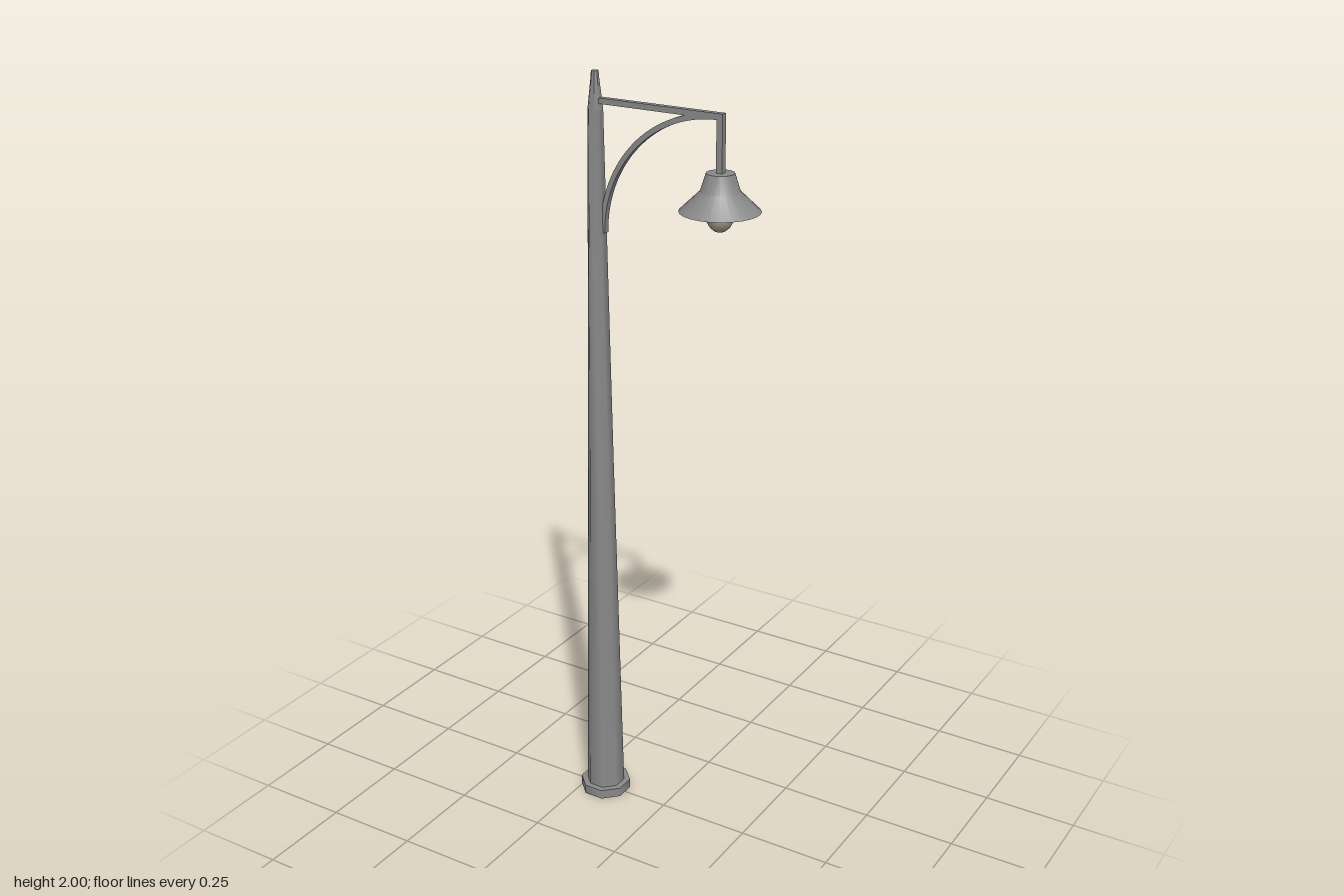
import * as THREE from 'three';
import { toCreasedNormals } from 'three/addons/utils/BufferGeometryUtils.js';

const POLE_X = -0.19, LAMP_X = 0.154;
const BAR = 0.016; // thickness of the square bars

const metal = new THREE.MeshStandardMaterial({ color: 0x8a8a8a, side: THREE.DoubleSide });
const glass = new THREE.MeshStandardMaterial({ color: 0xaea993, side: THREE.DoubleSide });

const toPoints = (profile, scale = 1) => profile.map(([r, y]) => new THREE.Vector2(r * scale, y));

// Eight-sided turned part with flats facing the axes; radii are measured to the flats.
// Shading is smooth around the pole and sharp at the collar edges.
function octagonal(profile) {
  const lathe = new THREE.LatheGeometry(toPoints(profile, 1 / Math.cos(Math.PI / 8)), 8, Math.PI / 8);
  return toCreasedNormals(lathe, 0.9);
}

export function createModel() {
  const model = new THREE.Group();
  model.name = 'streetLamp';

  const add = (name, geometry, material, x = 0, y = 0) => {
    const mesh = new THREE.Mesh(geometry, material);
    mesh.name = name;
    mesh.position.set(x, y, 0);
    model.add(mesh);
  };

  // Foot collar, hollow underneath
  add('base', octagonal([[0.049, 0], [0.0635, 0], [0.0635, 0.026], [0.048, 0.026]]), metal, POLE_X);

  // Tapered pole with a narrow pointed cap
  add('pole', octagonal([[0.049, 0], [0.048, 0.026], [0.031, 1], [0.0175, 1.91]]), metal, POLE_X);
  add('poleCap', octagonal([[0.0175, 1.91], [0.0095, 1.985], [0.0085, 2], [0, 2]]), metal, POLE_X);

  // Horizontal arm and the rod the lamp hangs from
  const armStart = -0.175, armEnd = LAMP_X + BAR / 2, armTop = 1.938;
  add('arm', new THREE.BoxGeometry(armEnd - armStart, 0.014, BAR), metal, (armStart + armEnd) / 2, armTop - 0.007);
  add('hangerRod', new THREE.BoxGeometry(BAR, armTop - 1.79, BAR), metal, LAMP_X, (armTop + 1.79) / 2);

  // Quarter-circle brace under the arm
  const outer = 0.326, inner = 0.313;
  const arc = new THREE.Shape();
  arc.absarc(0, 0, outer, Math.PI / 2, Math.PI, false);
  arc.absarc(0, 0, inner, Math.PI, Math.PI / 2, true);
  arc.closePath();
  const brace = new THREE.ExtrudeGeometry(arc, { depth: BAR, bevelEnabled: false, curveSegments: 16 });
  brace.translate(0, 0, -BAR / 2);
  add('curvedBrace', toCreasedNormals(brace, 0.5), metal, 0.15, 1.61);

  // Bell-shaped shade, open below
  const shade = new THREE.LatheGeometry(toPoints([
    [0.0975, 1.709], [0.0475, 1.757], [0.034, 1.8], [0, 1.8],
  ]), 24);
  add('shade', toCreasedNormals(shade, 0.5), metal, LAMP_X);

  // Bulb, rounded below and widening into the shade
  const bulb = new THREE.LatheGeometry(toPoints([
    [0, 1.659], [0.013, 1.662], [0.024, 1.671], [0.032, 1.685], [0.037, 1.703], [0.041, 1.725], [0.045, 1.755],
  ]), 24);
  add('bulb', bulb, glass, LAMP_X);

  return model;
}
